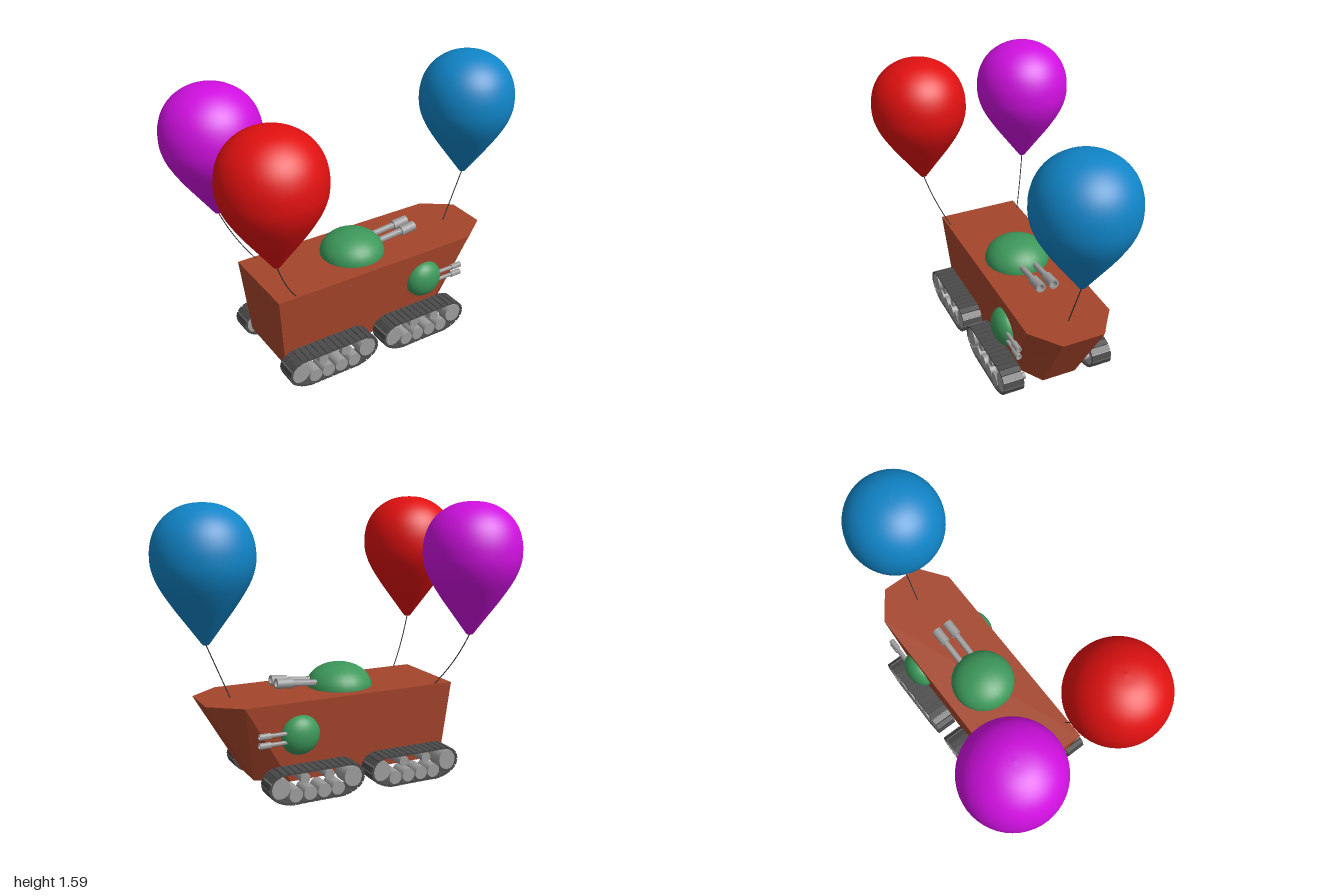
import * as THREE from 'three';
import { toCreasedNormals } from 'three/addons/utils/BufferGeometryUtils.js';

const mat = (name, color) => {
  const m = new THREE.MeshStandardMaterial({ color });
  m.name = name;
  return m;
};

export function createModel() {
  const rust = mat('rust hull', 0xa5452b);
  const green = mat('turret green', 0x3c985a);
  const steel = mat('steel grey', 0x9c9c9c);
  const rubber = mat('track grey', 0x4a4a4a);
  const cord = mat('cord', 0x333333);
  const red = mat('red', 0xe01010);
  const blue = mat('blue', 0x1084c6);
  const purple = mat('purple', 0xd010e0);

  const root = new THREE.Group();
  root.name = 'balloonTank';
  const add = (parent, name, geometry, material, x = 0, y = 0, z = 0) => {
    const mesh = new THREE.Mesh(geometry, material);
    mesh.name = name;
    mesh.position.set(x, y, z);
    parent.add(mesh);
    return mesh;
  };
  const group = (name, parent = root) => {
    const g = new THREE.Group();
    g.name = name;
    parent.add(g);
    return g;
  };

  // Hull: two six-sided outlines joined by flat walls
  const outline = (y, back, bend, nose, half, noseHalf) => [
    [back, y, half], [bend, y, half], [nose, y, noseHalf],
    [nose, y, -noseHalf], [bend, y, -half], [back, y, -half],
  ];
  const low = outline(0.085, -0.63, 0.33, 0.505, 0.205, 0.1);
  const high = outline(0.54, -0.67, 0.6, 0.77, 0.245, 0.12);
  const tris = [];
  for (let i = 0; i < 6; i++) {
    const j = (i + 1) % 6;
    tris.push(low[i], low[j], high[j], low[i], high[j], high[i]);
    if (i > 0 && i < 5) tris.push(high[0], high[i], high[j], low[0], low[j], low[i]);
  }
  const hullGeo = new THREE.BufferGeometry();
  hullGeo.setAttribute('position', new THREE.Float32BufferAttribute(tris.flat(), 3));
  hullGeo.computeVertexNormals();
  add(root, 'hull', hullGeo, rust);

  // Gun barrel along +x with a thicker hollow muzzle
  const barrelGeo = (length, muzzle, r, R) => {
    const pts = [[0, 0], [r, 0], [r, length - muzzle], [R, length - muzzle], [R, length],
      [R * 0.65, length], [R * 0.65, length - muzzle * 0.6], [0, length - muzzle * 0.6]];
    const g = new THREE.LatheGeometry(pts.map(p => new THREE.Vector2(...p)), 16);
    g.rotateZ(-Math.PI / 2);
    return toCreasedNormals(g, 0.7);
  };

  // Top turret with twin guns, raised slightly
  const topTurret = group('topTurret');
  const dome = new THREE.SphereGeometry(0.188, 24, 10, 0, Math.PI * 2, 0, Math.PI / 2);
  dome.scale(1, 0.7, 1);
  add(topTurret, 'topDome', dome, green, -0.065, 0.538, 0);
  const bigBarrel = barrelGeo(0.34, 0.095, 0.018, 0.029);
  for (const z of [-0.04, 0.04]) {
    add(topTurret, 'topGun', bigBarrel, steel, 0.003, 0.568, z).rotation.z = 0.09;
  }

  // Side turrets with stacked twin guns
  const sideDome = new THREE.SphereGeometry(0.113, 24, 16);
  sideDome.scale(1, 1, 0.7);
  const smallBarrel = barrelGeo(0.18, 0.065, 0.011, 0.017);
  for (const s of [-1, 1]) {
    const turret = group(s > 0 ? 'frontSideTurret' : 'rearSideTurret');
    const ball = add(turret, 'sideDome', sideDome, green, 0.282, 0.353, s * 0.227);
    ball.rotation.x = s * 0.09;
    for (const y of [0.33, 0.38]) {
      add(turret, 'sideGun', smallBarrel, steel, 0.35, y, s * 0.258);
    }
  }

  // Track path, relative to the centre of one track unit
  const half = [[0, 0.009], [0.08, 0.009], [0.16, 0.01], [0.225, 0.032], [0.265, 0.064],
    [0.277, 0.105], [0.261, 0.147], [0.215, 0.174], [0.1, 0.178]];
  const loop = [...half, [0, 0.178], ...half.slice(1).reverse().map(([x, y]) => [-x, y])];
  const path = new THREE.CatmullRomCurve3(
    loop.map(([x, y]) => new THREE.Vector3(x, y, 0)), true, 'centripetal');
  const LINKS = 34;
  const pitch = path.getLength() / LINKS;
  const linkGeo = new THREE.BoxGeometry(pitch * 0.86, 0.012, 0.12);

  // Thin belt under the links
  const ring = path.getSpacedPoints(68).slice(0, -1);
  const shrunk = k => ring.map(p => new THREE.Vector2(p.x * k, 0.093 + (p.y - 0.093) * k));
  const beltShape = new THREE.Shape(shrunk(0.995));
  beltShape.holes.push(new THREE.Path(shrunk(0.965)));
  const beltGeo = new THREE.ExtrudeGeometry(beltShape, { depth: 0.114, bevelEnabled: false });
  beltGeo.translate(0, 0, -0.057);

  // Wheels: x, y, radius
  const wheels = [[-0.219, 0.105, 0.058], [0.219, 0.105, 0.058],
    [-0.123, 0.053, 0.039], [-0.041, 0.053, 0.039], [0.043, 0.053, 0.039], [0.127, 0.053, 0.039],
    [-0.071, 0.141, 0.029], [0.073, 0.141, 0.029]];

  for (const s of [-1, 1]) {
    for (const cx of [-0.386, 0.224]) {
      const unit = group('trackUnit');
      unit.position.set(cx, 0, s * 0.275);
      add(unit, 'belt', beltGeo, rubber);
      for (let i = 0; i < LINKS; i++) {
        const p = path.getPointAt(i / LINKS);
        const t = path.getTangentAt(i / LINKS);
        add(unit, 'trackLink', linkGeo, rubber, p.x, p.y, 0).rotation.z = Math.atan2(t.y, t.x);
      }
      for (const [x, y, r] of wheels) {
        const g = new THREE.CylinderGeometry(r, r, 0.112, 24);
        g.rotateX(Math.PI / 2);
        add(unit, 'wheel', g, steel, x, y, 0);
        // Axle into the hull
        const a = new THREE.CylinderGeometry(r * 0.35, r * 0.35, 0.05, 10);
        a.rotateX(Math.PI / 2);
        if (y > 0.09) add(unit, 'axle', a, steel, x, y, -s * 0.065);
      }
    }
  }

  // Balloons: teardrop rising from a narrow tip
  const tip = new THREE.Vector2(0.018, 0);
  const crown = new THREE.SplineCurve([[0.018, 0], [0.098, 0.11], [0.175, 0.217], [0.238, 0.32],
    [0.268, 0.4], [0.275, 0.47], [0.268, 0.54], [0.243, 0.61], [0.198, 0.67],
    [0.135, 0.715], [0.07, 0.738], [0, 0.745]].map(p => new THREE.Vector2(...p)));
  const profile = [new THREE.Vector2(0, 0), tip, ...crown.getPoints(44).slice(1)];
  profile[profile.length - 1].x = 0;
  const balloonGeo = new THREE.LatheGeometry(profile, 48);

  // name, material, tip position, string foot on the deck
  const balloons = [
    ['redBalloon', red, [-0.715, 0.836, 0.333], [-0.555, 0.535, 0.225]],
    ['purpleBalloon', purple, [-0.725, 0.836, -0.335], [-0.565, 0.535, -0.225]],
    ['blueBalloon', blue, [0.722, 0.846, 0], [0.592, 0.535, 0]],
  ];
  for (const [name, material, top, foot] of balloons) {
    const g = group(name);
    add(g, 'balloonSkin', balloonGeo, material, ...top);
    const a = new THREE.Vector3(...top);
    const b = new THREE.Vector3(...foot);
    const mid = a.clone().lerp(b, 0.5);
    if (top[2] !== 0) mid.add(new THREE.Vector3(-0.02, -0.02, Math.sign(top[2]) * 0.014));
    const string = new THREE.QuadraticBezierCurve3(a, mid, b);
    add(g, 'string', new THREE.TubeGeometry(string, 12, 0.003, 6), cord);
  }

  return root;
}
